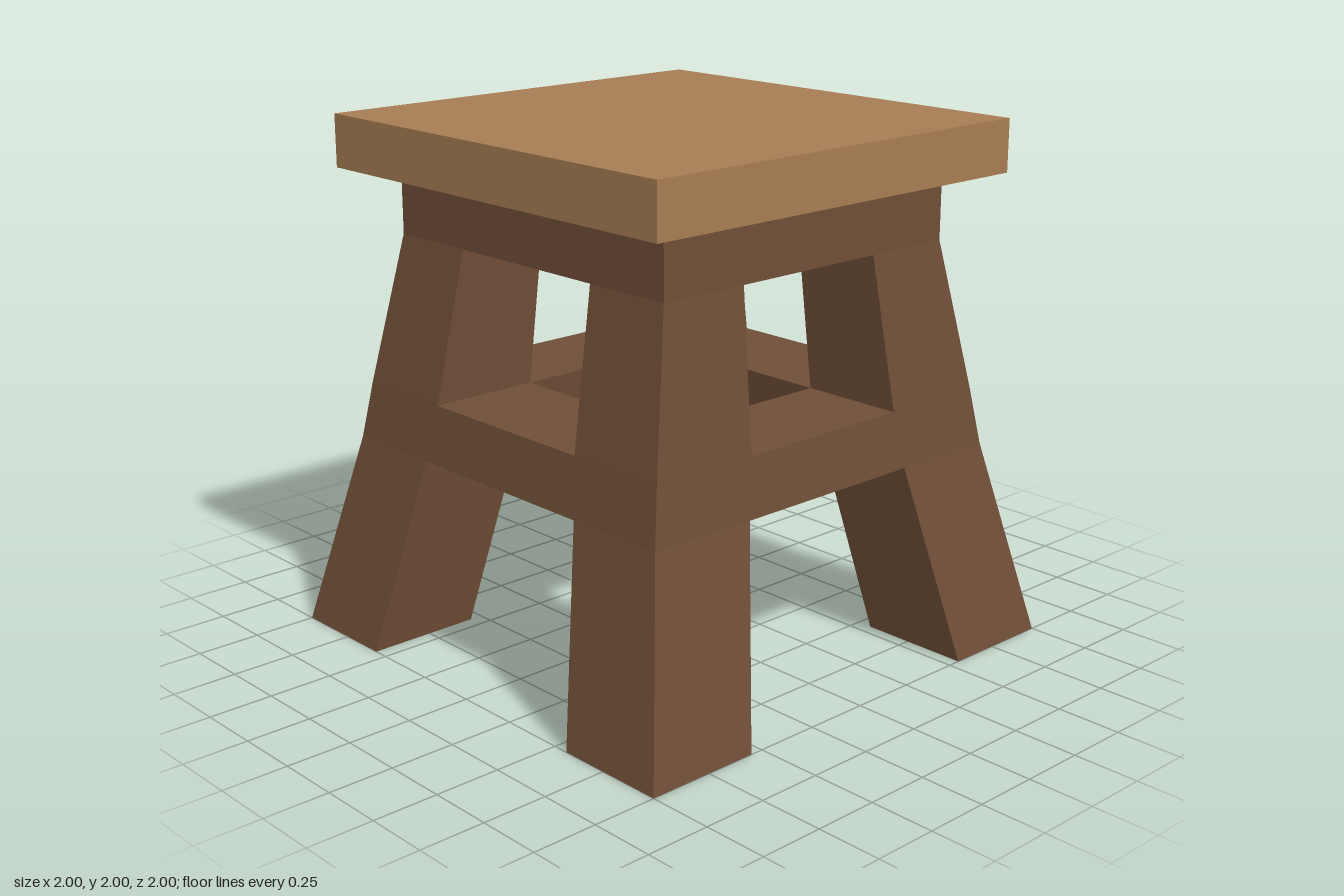
import * as THREE from 'three';

const seatMaterial = new THREE.MeshStandardMaterial({ color: 0xa67c52, flatShading: true });
const frameMaterial = new THREE.MeshStandardMaterial({ color: 0x6f4e37, flatShading: true });

// Outline of the splayed frame: outer and inner half-widths at each height
const levels = [
  { y: 0, ox: 1, ix: 0.55, oz: 1, iz: 0.56 },
  { y: 0.76, ox: 0.835, ix: 0.4, oz: 0.83, iz: 0.42 },
  { y: 0.975, ox: 0.8, ix: 0.365, oz: 0.8, iz: 0.387 },
  { y: 1.55, ox: 0.69, ix: 0.325, oz: 0.715, iz: 0.35 },
  { y: 1.8, ox: 0.69, ix: 0.325, oz: 0.715, iz: 0.35 },
];

// Joins rectangular sections { y, x: [a, b], z: [a, b] }, listed from bottom to top
function loft(name, sections) {
  const positions = [];
  const rings = sections.map(({ y, x, z }) => {
    const [x0, x1] = [Math.min(...x), Math.max(...x)];
    const [z0, z1] = [Math.min(...z), Math.max(...z)];
    return [[x0, y, z1], [x1, y, z1], [x1, y, z0], [x0, y, z0]];
  });
  const quad = (a, b, c, d) => positions.push(...a, ...b, ...c, ...a, ...c, ...d);
  for (let i = 0; i < rings.length - 1; i++) {
    const low = rings[i], high = rings[i + 1];
    for (let j = 0; j < 4; j++) {
      const k = (j + 1) % 4;
      quad(low[j], low[k], high[k], high[j]);
    }
  }
  const bottom = rings[0], top = rings[rings.length - 1];
  quad(bottom[3], bottom[2], bottom[1], bottom[0]);
  quad(top[0], top[1], top[2], top[3]);

  const geometry = new THREE.BufferGeometry();
  geometry.setAttribute('position', new THREE.Float32BufferAttribute(positions, 3));
  geometry.computeVertexNormals();
  const mesh = new THREE.Mesh(geometry, frameMaterial);
  mesh.name = name;
  return mesh;
}

export function createModel() {
  const stool = new THREE.Group();
  stool.name = 'stool';

  // Seat slab
  const seat = new THREE.Mesh(new THREE.BoxGeometry(1.73, 0.2, 1.75), seatMaterial);
  seat.name = 'seat';
  seat.position.y = 1.9;
  stool.add(seat);

  // Four splayed legs
  for (const [sideX, xName] of [[1, 'Left'], [-1, 'Right']]) {
    for (const [sideZ, zName] of [[1, 'front'], [-1, 'back']]) {
      stool.add(loft(`${zName}${xName}Leg`, levels.map(({ y, ox, ix, oz, iz }) => ({
        y, x: [sideX * ix, sideX * ox], z: [sideZ * iz, sideZ * oz],
      }))));
    }
  }

  // Stretchers and aprons fill the gaps between the legs on all four sides
  for (const [part, first] of [['Stretcher', 1], ['Apron', 3]]) {
    const span = levels.slice(first, first + 2);
    for (const [side, zName, xName] of [[1, 'front', 'left'], [-1, 'back', 'right']]) {
      stool.add(loft(zName + part, span.map(({ y, ix, oz, iz }) => ({
        y, x: [-ix, ix], z: [side * iz, side * oz],
      }))));
      stool.add(loft(xName + part, span.map(({ y, ox, ix, iz }) => ({
        y, x: [side * ix, side * ox], z: [-iz, iz],
      }))));
    }
  }

  return stool;
}
